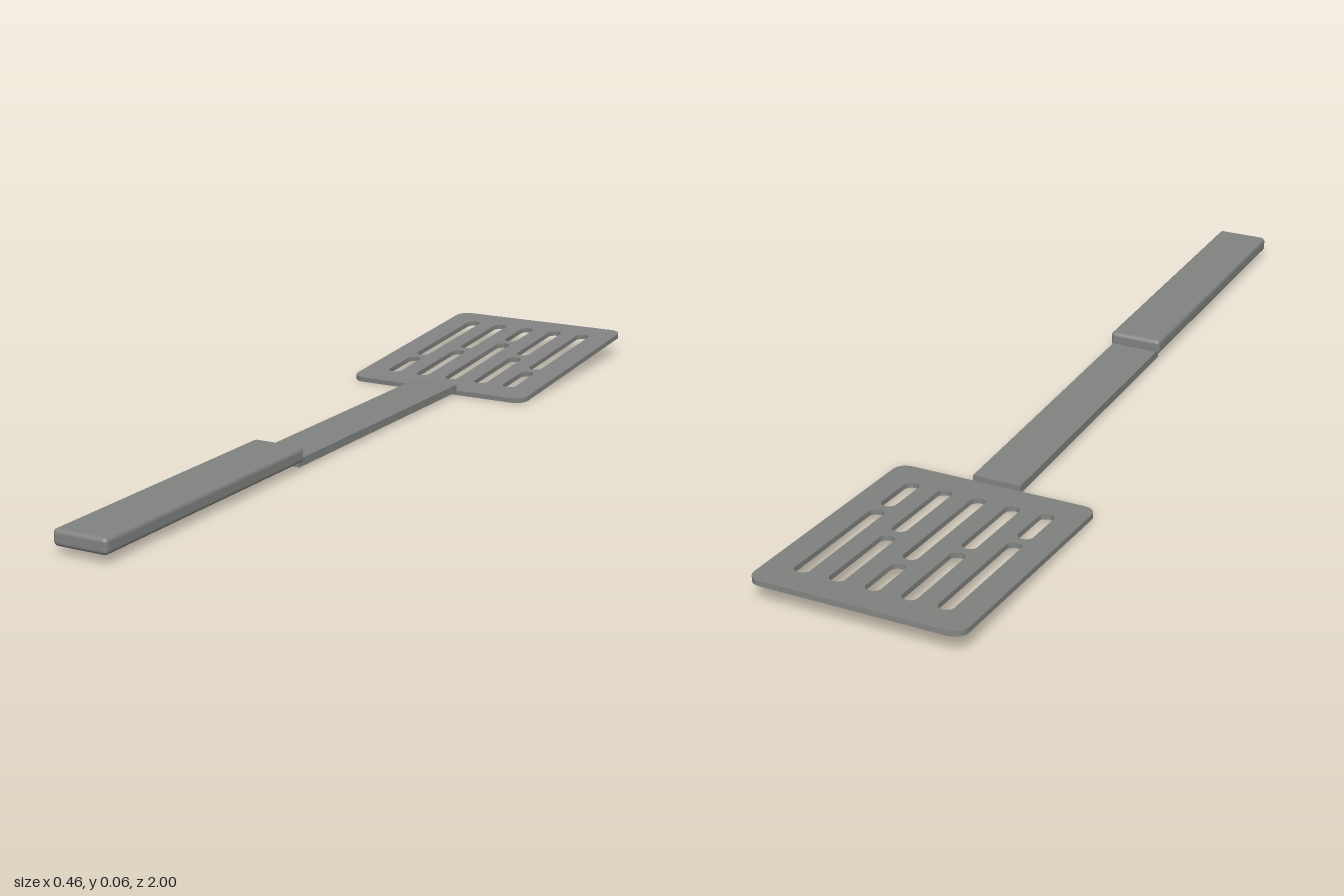
import * as THREE from 'three';
import { toCreasedNormals } from 'three/addons/utils/BufferGeometryUtils.js';
import { RoundedBoxGeometry } from 'three/addons/geometries/RoundedBoxGeometry.js';

// Rounded rectangle outline, used for the blade and its slots
function roundedRect(path, x0, y0, x1, y1, r) {
  path.moveTo(x0 + r, y0);
  path.lineTo(x1 - r, y0);
  path.absarc(x1 - r, y0 + r, r, -Math.PI / 2, 0);
  path.lineTo(x1, y1 - r);
  path.absarc(x1 - r, y1 - r, r, 0, Math.PI / 2);
  path.lineTo(x0 + r, y1);
  path.absarc(x0 + r, y1 - r, r, Math.PI / 2, Math.PI);
  path.lineTo(x0, y0 + r);
  path.absarc(x0 + r, y0 + r, r, Math.PI, Math.PI * 1.5);
  return path;
}

export function createModel() {
  const group = new THREE.Group();
  const metal = new THREE.MeshStandardMaterial({ color: 0x808280 });
  metal.name = 'greyMetal';

  const add = (name, geometry, x, y, z) => {
    const mesh = new THREE.Mesh(geometry, metal);
    mesh.name = name;
    mesh.position.set(x, y, z);
    group.add(mesh);
    return mesh;
  };

  // Slotted blade, drawn flat from its front edge and tilted up to the back
  const outline = roundedRect(new THREE.Shape(), -0.23, 0, 0.23, 0.591, 0.03);
  const slotColumns = [
    [0, [[0.07, 0.381], [0.402, 0.525]]],
    [0.078, [[0.07, 0.286], [0.307, 0.525]]],
    [0.155, [[0.07, 0.195], [0.216, 0.525]]],
  ];
  for (const [offset, slots] of slotColumns) {
    for (const x of offset ? [-offset, offset] : [0]) {
      for (const [a, b] of slots) {
        outline.holes.push(roundedRect(new THREE.Path(), x - 0.0165, a, x + 0.0165, b, 0.0164));
      }
    }
  }
  const bladeGeometry = new THREE.ExtrudeGeometry(outline, { depth: 0.0115, bevelEnabled: false, curveSegments: 8 });
  bladeGeometry.rotateX(-Math.PI / 2);
  const blade = add('blade', toCreasedNormals(bladeGeometry, 0.6), 0, 0, -0.411);
  blade.rotation.x = 0.078;

  // Flat shaft between blade and grip
  add('shaft', new THREE.BoxGeometry(0.11, 0.018, 0.722), 0, 0.016, -0.051);

  // Softly rounded grip resting on the end of the shaft
  add('handle', new RoundedBoxGeometry(0.124, 0.035, 0.702, 4, 0.01), 0, 0.0345, 0.649);

  return group;
}
